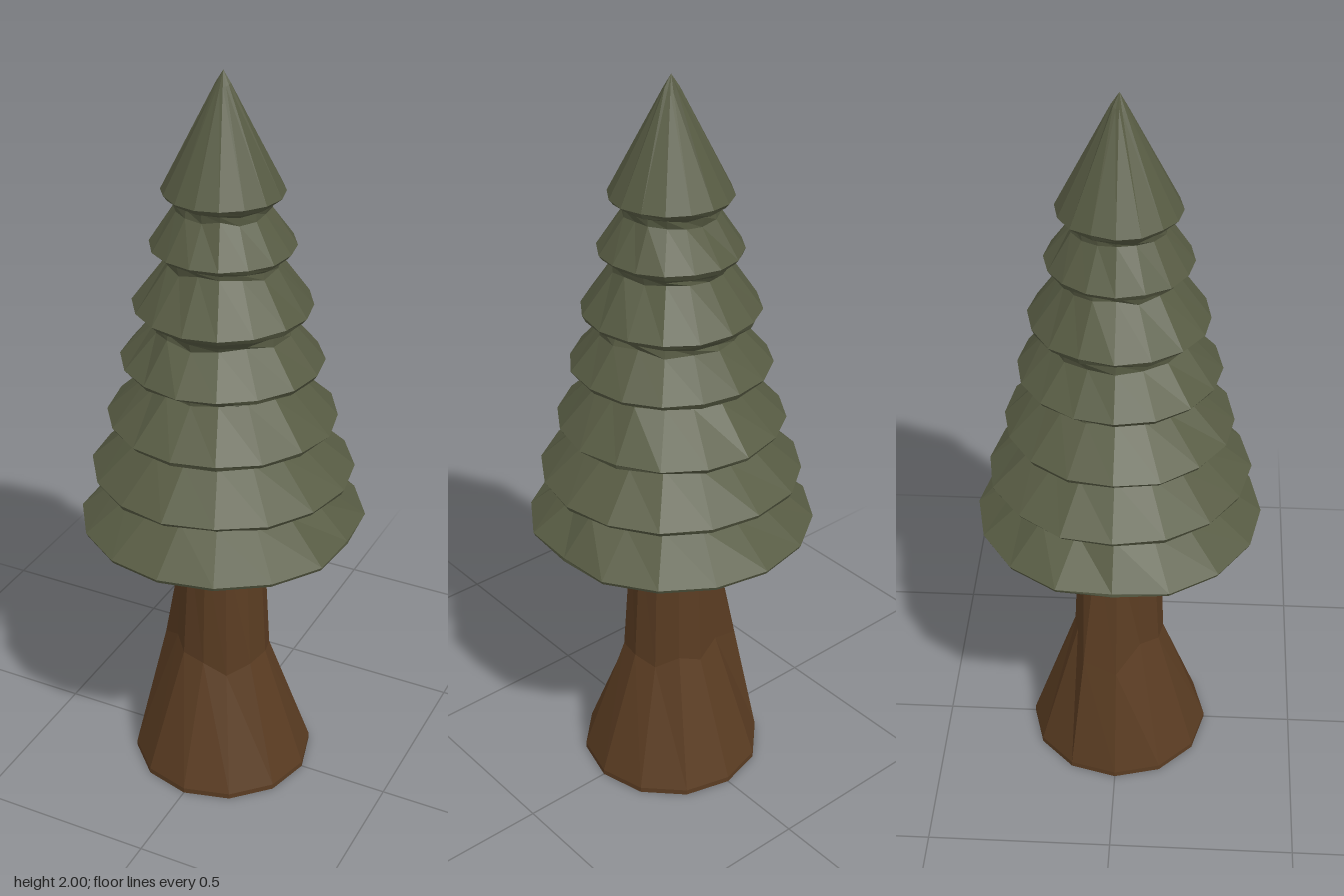
import * as THREE from 'three';

// Small repeatable random value in -1..1
function seeded(seed) {
  let s = seed;
  return () => {
    s = (s * 16807) % 2147483647;
    return (s / 2147483647) * 2 - 1;
  };
}

// Lathe whose rings are reshaped by a rule(vertex, ring, side); the seam stays closed
function facetedLathe(profile, sides, rule) {
  const geo = new THREE.LatheGeometry(profile.map(([r, y]) => new THREE.Vector2(r, y)), sides);
  const pos = geo.attributes.position;
  const v = new THREE.Vector3();
  const rings = profile.length;
  for (let i = 0; i < sides; i++) {
    for (let j = 0; j < rings; j++) {
      v.fromBufferAttribute(pos, i * rings + j);
      if (profile[j][0] > 0) rule(v, j, i);
      pos.setXYZ(i * rings + j, v.x, v.y, v.z);
      if (i === 0) pos.setXYZ(sides * rings + j, v.x, v.y, v.z);
    }
  }
  geo.computeVertexNormals();
  return geo;
}

const flat = (color) => new THREE.MeshStandardMaterial({ color, flatShading: true });

export function createModel() {
  const tree = new THREE.Group();
  tree.name = 'pineTree';

  // Trunk: flared foot, slim neck, with one ridge running up the right-back side
  const bark = seeded(11);
  const trunkProfile = [[0, 0], [0.25, 0], [0.25, 0.015], [0.13, 0.37], [0.11, 0.73], [0.125, 0.785], [0, 0.785]];
  const trunk = new THREE.Mesh(
    facetedLathe(trunkProfile, 12, (v, ring) => {
      if (ring !== 3) return;
      const r = Math.hypot(v.x, v.z);
      const facing = (-v.x * 0.94 - v.z * 0.34) / r;
      const k = facing > 0.8 ? 1.4 : 1 + bark() * 0.04;
      v.x *= k;
      v.z *= k;
      v.y += bark() * 0.04;
    }),
    flat(0x5a3c22)
  );
  trunk.name = 'trunk';
  tree.add(trunk);

  // Foliage: stacked skirts, each a wide rim tucking in to a narrow neck
  const tiers = [ // rim radius, rim height, neck radius, neck height
    [0.345, 0.94, 0.26, 0.89],
    [0.3, 1.09, 0.225, 1.05],
    [0.262, 1.25, 0.19, 1.2],
    [0.23, 1.4, 0.18, 1.35],
    [0.185, 1.56, 0.145, 1.52],
    [0.155, 1.7, 0.118, 1.66],
  ];
  const profile = [[0, 0.785], [0.375, 0.785], [0.38, 0.795]];
  for (const [rimR, rimY, neckR, neckY] of tiers) {
    profile.push([neckR, neckY], [neckR + 0.005, neckY + 0.02], [rimR - 0.01, rimY - 0.008], [rimR, rimY + 0.005]);
  }
  profile.push([0.02, 1.965], [0, 2]);

  const needles = seeded(42);
  const foliage = new THREE.Mesh(
    facetedLathe(profile, 16, (v, ring) => {
      if (ring < 3) {
        // lowest skirt is trimmed flat on both sides
        v.x = THREE.MathUtils.clamp(v.x, -0.36, 0.36);
        return;
      }
      const neck = ring % 4 === 3 || ring % 4 === 0;
      const k = 1 + needles() * (neck ? 0.04 : 0.012);
      v.x *= k;
      v.z *= k;
      v.y += needles() * (neck ? 0.008 : 0.003);
    }),
    flat(0x575b43)
  );
  foliage.name = 'foliage';
  tree.add(foliage);

  return tree;
}
